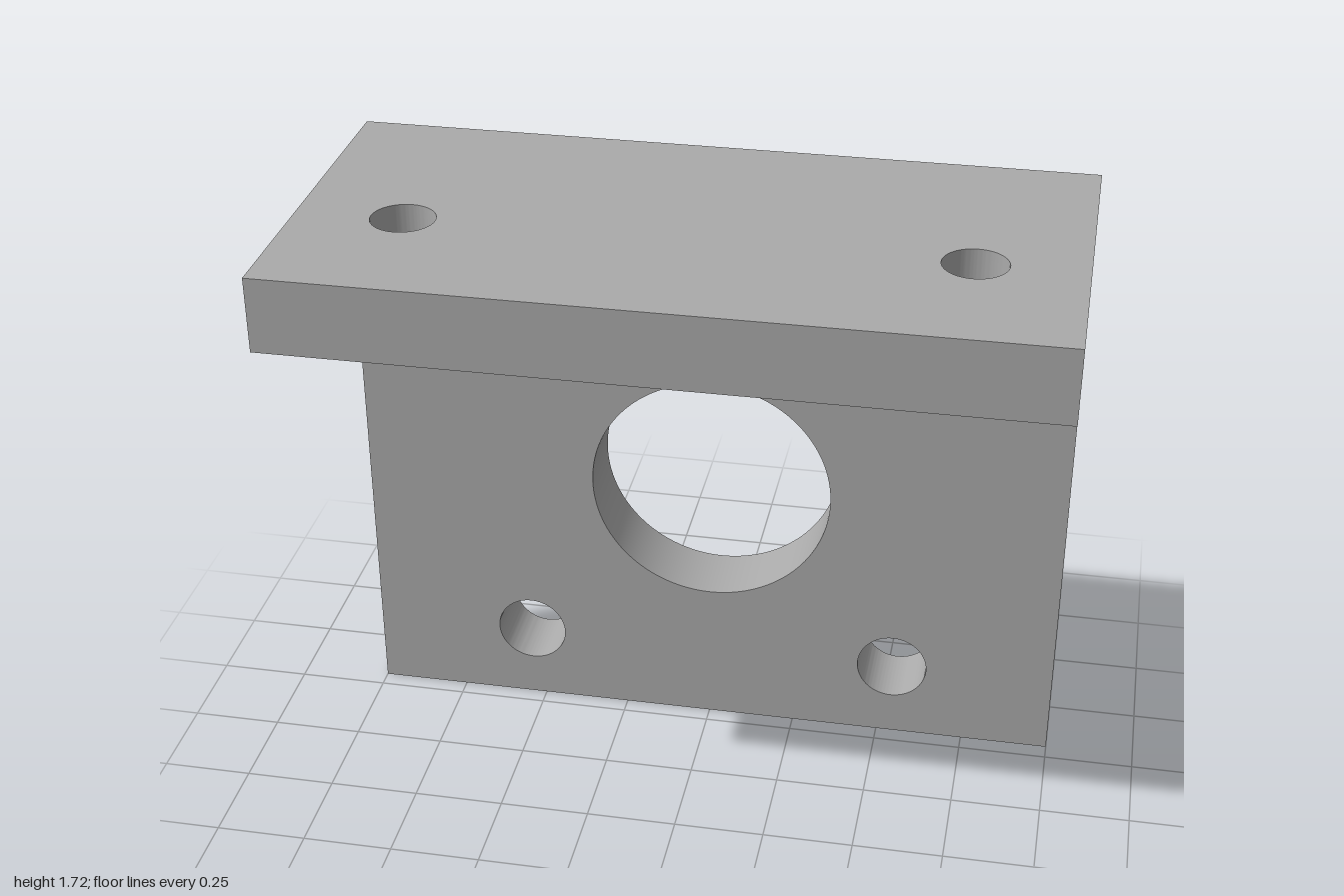
import * as THREE from 'three';
import { toCreasedNormals } from 'three/addons/utils/BufferGeometryUtils.js';

const HEIGHT = 1.72, THICK = 0.2, HALF_DEPTH = 0.5;

// Flat plate from x = -1 to 1 with round through-holes given as [x, y, radius]
function plate(y0, y1, holes) {
  const shape = new THREE.Shape([
    new THREE.Vector2(-1, y0), new THREE.Vector2(1, y0),
    new THREE.Vector2(1, y1), new THREE.Vector2(-1, y1),
  ]);
  for (const [x, y, r] of holes) {
    shape.holes.push(new THREE.Path().absarc(x, y, r, 0, Math.PI * 2, true));
  }
  const geometry = new THREE.ExtrudeGeometry(shape, { depth: THICK, bevelEnabled: false, curveSegments: 64 });
  return toCreasedNormals(geometry, 0.6);
}

export function createModel() {
  const model = new THREE.Group();
  model.name = 'mountingBracket';
  const metal = new THREE.MeshStandardMaterial({ color: 0xaaaaaa });
  metal.name = 'grey metal';

  // Upright plate: large central bore and four bolt holes
  const bores = [[0, 0.763, 0.341]];
  for (const x of [-0.537, 0.537]) {
    for (const y of [0.226, 1.3]) bores.push([x, y, 0.1]);
  }
  const upright = new THREE.Mesh(plate(0, HEIGHT - THICK, bores), metal);
  upright.name = 'uprightPlate';
  upright.position.z = -HALF_DEPTH;

  // Top flange: laid flat, its shape's y becomes z, with two screw holes
  const screwHoles = [-0.72, 0.72].map((x) => [x, 0.097, 0.084]);
  const flange = new THREE.Mesh(plate(-HALF_DEPTH, HALF_DEPTH, screwHoles).rotateX(Math.PI / 2), metal);
  flange.name = 'topFlange';
  flange.position.y = HEIGHT;

  model.add(upright, flange);
  return model;
}
